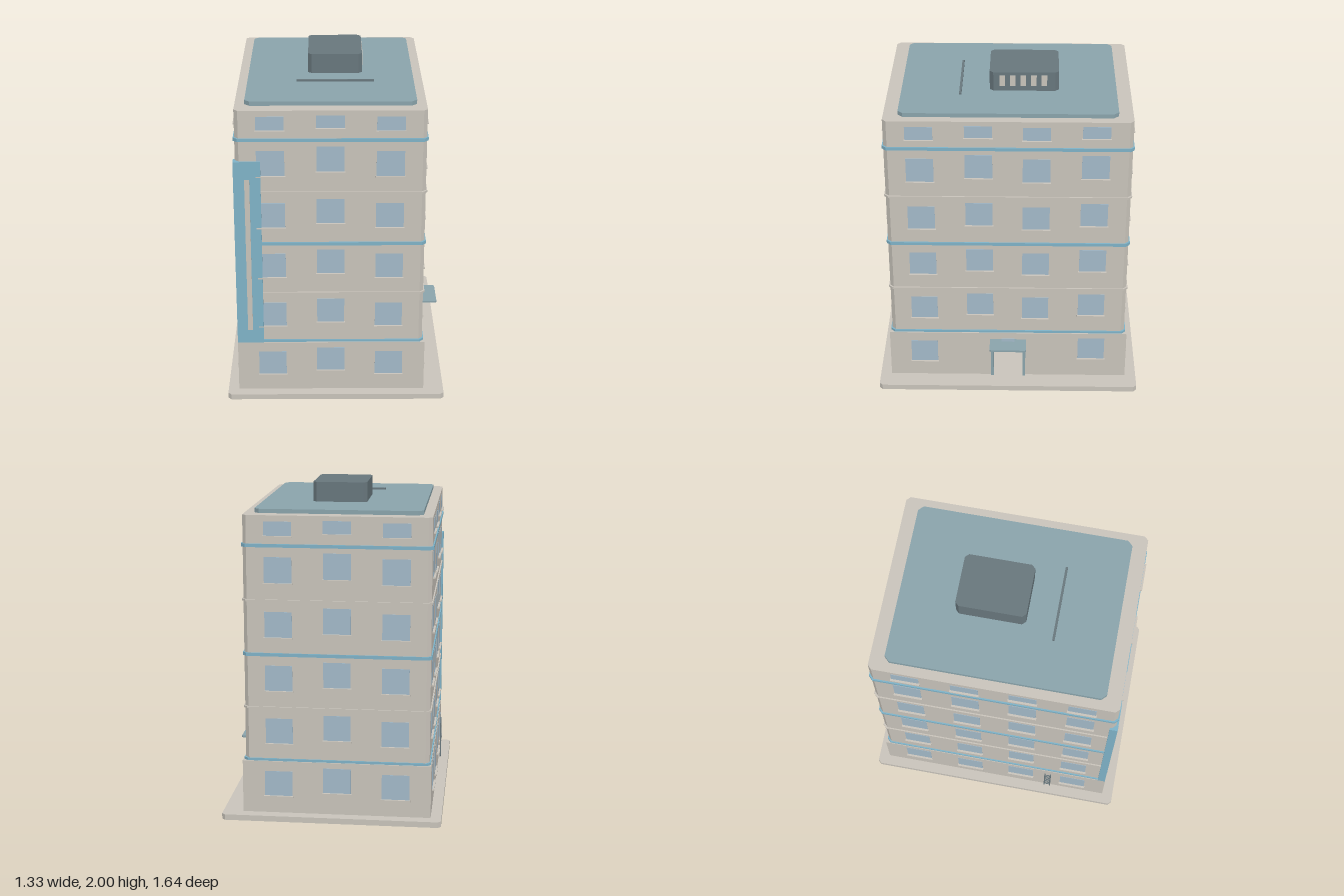
import * as THREE from 'three';

const mat = (name, color) => {
  const m = new THREE.MeshStandardMaterial({ color });
  m.name = name;
  return m;
};

export function createModel() {
  const wall = mat('wall stone', 0xc9c4bb);
  const trim = mat('trim blue', 0x7fb3c8);
  const glass = mat('window glass', 0xa3bac9);
  const roofing = mat('roof blue grey', 0x8aa4ac);
  const dark = mat('plant room grey', 0x68777d);
  const model = new THREE.Group();
  model.name = 'officeTower';

  const add = (name, geo, material, parent = model) => {
    const m = new THREE.Mesh(geo, material);
    m.name = name;
    parent.add(m);
    return m;
  };

  // Box given by its extents
  const box = (name, material, x0, x1, y0, y1, z0, z1, parent) => {
    const g = new THREE.BoxGeometry(x1 - x0, y1 - y0, z1 - z0);
    g.translate((x0 + x1) / 2, (y0 + y1) / 2, (z0 + z1) / 2);
    return add(name, g, material, parent);
  };

  // Vertical prism from a plan outline of [x, z] points
  const prism = (name, material, plan, y0, y1) => {
    const shape = new THREE.Shape(plan.map(([x, z]) => new THREE.Vector2(x, z)));
    const g = new THREE.ExtrudeGeometry(shape, { depth: y1 - y0, bevelEnabled: false });
    g.rotateX(Math.PI / 2);
    g.translate(0, y1, 0);
    return add(name, g, material);
  };

  // Slab with cut corners
  const slab = (name, material, x0, x1, z0, z1, y0, y1, c) => prism(name, material, [
    [x0 + c, z0], [x1 - c, z0], [x1, z0 + c], [x1, z1 - c],
    [x1 - c, z1], [x0 + c, z1], [x0, z1 - c], [x0, z0 + c],
  ], y0, y1);

  // Base, ground floor with a door recess, upper storeys
  slab('basePlinth', wall, -0.665, 0.665, -0.82, 0.82, 0, 0.035, 0.02);
  prism('groundFloor', wall, [
    [-0.6, -0.75], [0.542, -0.75], [0.542, -0.1], [0.15, -0.1],
    [0.15, 0.1], [0.542, 0.1], [0.542, 0.75], [-0.6, 0.75],
  ], 0.035, 0.28);
  box('groundFloorHead', wall, -0.6, 0.542, 0.28, 0.36, -0.75, 0.75);
  slab('upperStoreys', wall, -0.588, 0.527, -0.735, 0.735, 0.355, 1.855, 0.023);

  // Floor bands, alternately blue and stone
  for (let i = 0; i < 5; i++) {
    const y = 0.365 + i * 0.328, blue = i % 2 === 0, h = blue ? 0.01 : 0.006;
    slab(blue ? 'blueBand' : 'stoneBand', blue ? trim : wall,
      -0.596, 0.535, -0.743, 0.743, y - h, y + h, 0.024);
  }

  // A window and sill on a wall; u runs along the wall, n is the outward axis
  const windows = new THREE.Group();
  windows.name = 'windows';
  model.add(windows);
  const windowOn = (axis, sign, plane, u, y, h, w, sillH) => {
    const place = (name, material, du, y0, y1, out) => {
      const a = Math.min(plane - sign * 0.003, plane + sign * out);
      const b = Math.max(plane - sign * 0.003, plane + sign * out);
      if (axis === 'z') box(name, material, u - du, u + du, y0, y1, a, b, windows);
      else box(name, material, a, b, y0, y1, u - du, u + du, windows);
    };
    place('windowPane', glass, w / 2, y, y + h, 0.002);
    place('windowSill', wall, w / 2 + 0.005, y - sillH, y, 0.015);
  };

  const frontColumns = [-0.382, -0.032, 0.318];
  const sideColumns = [0.524, 0.175, -0.169, -0.519];
  const faces = [
    { axis: 'z', sign: 1, upper: 0.735, ground: 0.75, cols: frontColumns },
    { axis: 'z', sign: -1, upper: -0.735, ground: -0.75, cols: frontColumns },
    { axis: 'x', sign: 1, upper: 0.527, ground: 0.542, cols: sideColumns, door: true },
    { axis: 'x', sign: -1, upper: -0.588, ground: -0.6, cols: sideColumns },
  ];
  for (const f of faces) {
    f.cols.forEach((u, i) => {
      const lift = i % 2 ? 0.027 : 0;
      for (let r = 0; r < 4; r++) {
        windowOn(f.axis, f.sign, f.upper, u, 0.47 + r * 0.328 + lift, 0.155, 0.164, 0.008);
      }
      windowOn(f.axis, f.sign, f.upper, u, i % 2 ? 1.75 : 1.735, i % 2 ? 0.077 : 0.084, 0.164, 0.008);
      // The entrance wall keeps only its outer ground windows
      if (f.door && (i === 1 || i === 2)) return;
      windowOn(f.axis, f.sign, f.ground, u * 1.015, 0.143 + lift, 0.155, 0.168, 0.011);
    });
  }

  // Tall corner panel with a pale strip
  box('cornerPanel', trim, -0.6, -0.44, 0.36, 1.545, 0.7, 0.748);
  box('cornerPanelStrip', wall, -0.535, -0.505, 0.45, 1.435, 0.746, 0.754);

  // Entrance: frame, canopy and plate
  for (const s of [-1, 1]) {
    box('doorJamb', roofing, 0.48, 0.556, 0.035, 0.285,
      Math.min(s * 0.092, s * 0.11), Math.max(s * 0.092, s * 0.11));
  }
  box('doorLintel', roofing, 0.48, 0.556, 0.27, 0.287, -0.11, 0.11);
  box('canopyBracket', wall, 0.53, 0.57, 0.287, 0.302, -0.1, 0.1);
  slab('canopy', roofing, 0.535, 0.663, -0.115, 0.115, 0.301, 0.313, 0.008);
  box('canopyPlate', glass, 0.563, 0.569, 0.313, 0.334, -0.042, 0.042);

  // Ladder on the far side wall
  for (const z of [0.345, 0.382]) {
    box('ladderRail', dark, -0.618, -0.611, 0.066, 0.33, z - 0.004, z + 0.004);
  }
  for (let i = 0; i < 7; i++) {
    const y = 0.09 + i * 0.036;
    box('ladderRung', dark, -0.617, -0.612, y - 0.003, y + 0.003, 0.345, 0.382);
  }

  // Roof deck, plant room with vents, and pipe
  slab('roofDeck', roofing, -0.53, 0.47, -0.648, 0.648, 1.85, 1.88, 0.03);
  slab('plantRoom', dark, -0.167, 0.162, -0.3, 0.116, 1.88, 2, 0.022);
  for (let i = 0; i < 5; i++) {
    const z = 0.04 - i * 0.063;
    box('ventSlot', wall, 0.16, 0.167, 1.913, 1.98, z - 0.017, z + 0.017);
  }
  box('roofPipe', dark, -0.235, 0.23, 1.884, 1.896, 0.283, 0.297);

  return model;
}
